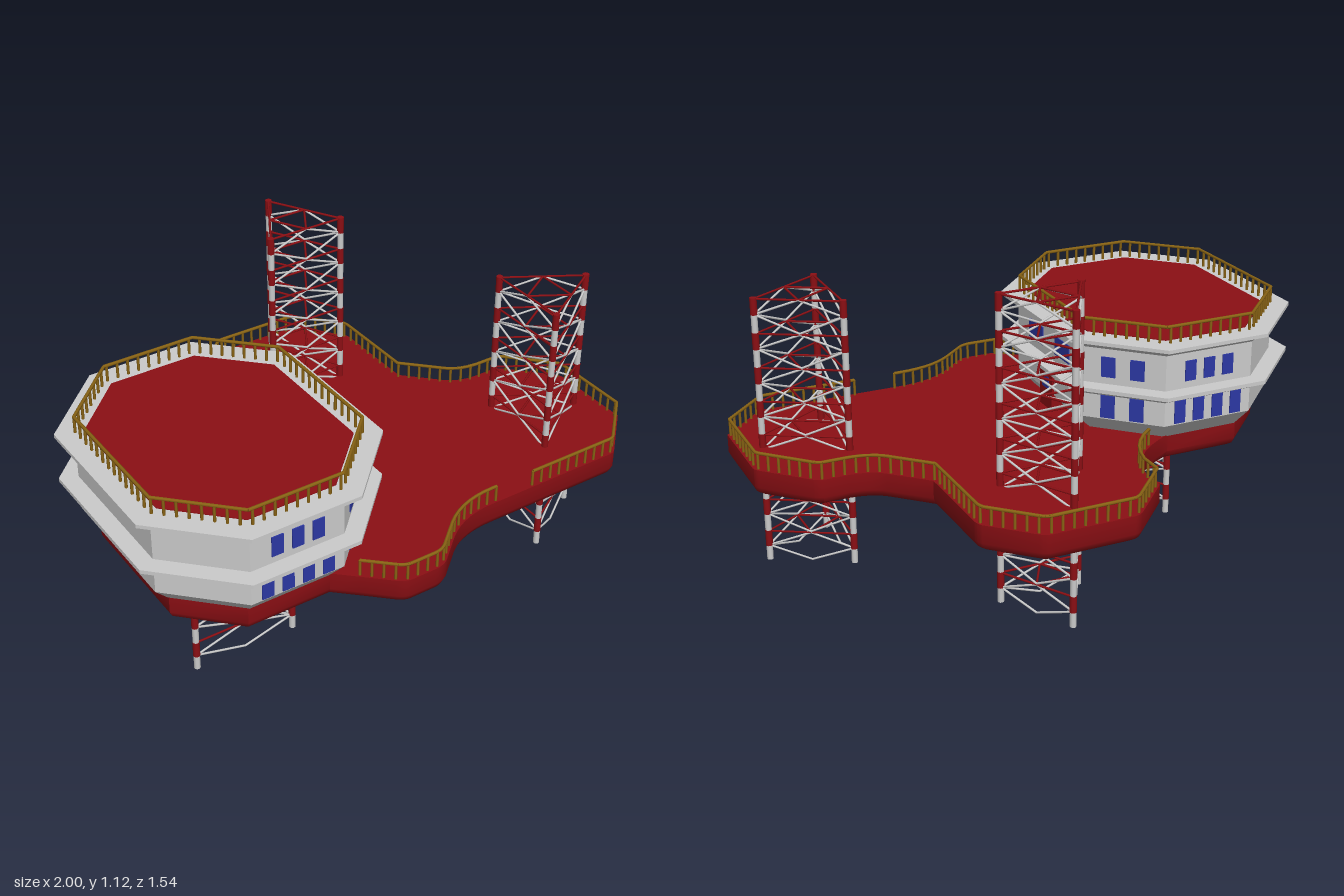
import * as THREE from 'three';
import { mergeGeometries, toCreasedNormals } from 'three/addons/utils/BufferGeometryUtils.js';

const mat = (color) => new THREE.MeshStandardMaterial({ color });
const grey = mat(0xcccccc), red = mat(0x8c0f14), gold = mat(0x8a6414), blue = mat(0x2c38a4);
const V = (x, y, z) => new THREE.Vector3(x, y, z);

function add(parent, name, geometry, material) {
  const mesh = new THREE.Mesh(geometry, material);
  mesh.name = name;
  parent.add(mesh);
  return mesh;
}

// Mitred offset of a closed plan outline (x, z), positive outwards
function offset(pts, d) {
  const n = pts.length;
  const normal = (a, b) => new THREE.Vector2(b.y - a.y, a.x - b.x).normalize();
  return pts.map((p, i) => {
    const n1 = normal(pts[(i + n - 1) % n], p), n2 = normal(p, pts[(i + 1) % n]);
    const m = n1.clone().add(n2).normalize();
    return p.clone().addScaledVector(m, d / m.dot(n1));
  });
}

// Solid from a plan outline and a profile of [offset, y] levels, capped at both ends
function loft(outline, profile, crease = 0.5) {
  const pos = [], n = outline.length;
  const loops = profile.map(([d, y]) => offset(outline, d).map((p) => V(p.x, y, p.y)));
  const tri = (...vs) => vs.forEach((v) => pos.push(v.x, v.y, v.z));
  for (let k = 0; k + 1 < loops.length; k++) {
    const a = loops[k], b = loops[k + 1];
    for (let i = 0; i < n; i++) {
      const j = (i + 1) % n;
      tri(a[i], b[i], a[j]);
      tri(a[j], b[i], b[j]);
    }
  }
  const lo = loops[0], hi = loops[loops.length - 1];
  for (const [a, b, c] of THREE.ShapeUtils.triangulateShape(outline, [])) {
    tri(lo[a], lo[b], lo[c]);
    tri(hi[a], hi[c], hi[b]);
  }
  const g = new THREE.BufferGeometry();
  g.setAttribute('position', new THREE.Float32BufferAttribute(pos, 3));
  return toCreasedNormals(g, crease);
}

// Round bar between two points
function bar(a, b, r, sides = 6) {
  const dir = b.clone().sub(a);
  const g = new THREE.CylinderGeometry(r, r, dir.length(), sides);
  g.applyQuaternion(new THREE.Quaternion().setFromUnitVectors(V(0, 1, 0), dir.normalize()));
  return g.translate((a.x + b.x) / 2, (a.y + b.y) / 2, (a.z + b.z) / 2);
}

// Railing along a plan polyline: posts plus top rail
function railing(pts, y, height, spacing) {
  const parts = [];
  for (let i = 0; i + 1 < pts.length; i++) {
    const a = pts[i], b = pts[i + 1];
    parts.push(bar(V(a.x, y + height, a.y), V(b.x, y + height, b.y), 0.006));
  }
  const path = new THREE.CurvePath();
  for (let i = 0; i + 1 < pts.length; i++) path.add(new THREE.LineCurve(pts[i], pts[i + 1]));
  const count = Math.round(path.getLength() / spacing);
  for (let i = 0; i <= count; i++) {
    const p = path.getPointAt(i / count);
    parts.push(bar(V(p.x, y, p.y), V(p.x, y + height, p.y), 0.005));
  }
  return mergeGeometries(parts);
}

// Three-post lattice leg with rings, inner triangles and diamond bracing
function latticeLeg(name, corners, top) {
  const leg = new THREE.Group();
  leg.name = name;
  const white = [], reds = [], bay = 0.125, band = 0.06;
  const at = ([x, z], y) => V(x, Math.max(y, 0.004), z);
  const mids = corners.map((c, i) => {
    const d = corners[(i + 1) % 3];
    return [(c[0] + d[0]) / 2, (c[1] + d[1]) / 2];
  });
  corners.forEach((c) => white.push(bar(V(c[0], 0, c[1]), V(c[0], top, c[1]), 0.0115, 10)));
  for (let y = top; y > 0.05; y -= bay) {
    for (let i = 0; i < 3; i++) {
      const a = corners[i], b = corners[(i + 1) % 3], m = mids[i];
      reds.push(bar(at(a, y - band), at(a, y + 0.001), 0.0125, 10));
      reds.push(bar(at(a, y - 0.004), at(b, y - 0.004), 0.004));
      reds.push(bar(at(m, y - 0.004), at(mids[(i + 1) % 3], y - 0.004), 0.004));
      for (const c of [a, b]) {
        white.push(bar(at(m, y - 0.004), at(c, y - band), 0.004));
        white.push(bar(at(c, y - band), at(m, y - bay), 0.004));
      }
    }
  }
  add(leg, 'postsAndBraces', mergeGeometries(white), grey);
  add(leg, 'bandsAndRings', mergeGeometries(reds), red);
  return leg;
}

// Hull plan outline, running back, right, front, left
function hullOutline() {
  const p = new THREE.Path();
  p.moveTo(-0.883, 0.41);
  p.lineTo(-0.883, -0.07).lineTo(-0.70, -0.25).lineTo(-0.42, -0.25);
  p.quadraticCurveTo(-0.22, -0.34, -0.19, -0.51).lineTo(-0.19, -0.60);
  p.lineTo(-0.04, -0.755).quadraticCurveTo(-0.02, -0.772, 0, -0.772);
  p.lineTo(0.29, -0.772).quadraticCurveTo(0.31, -0.772, 0.33, -0.755);
  p.lineTo(0.465, -0.62).quadraticCurveTo(0.477, -0.60, 0.477, -0.58);
  p.lineTo(0.48, -0.25).lineTo(0.60, -0.13).quadraticCurveTo(0.64, -0.088, 0.72, -0.085);
  p.lineTo(0.81, -0.085).quadraticCurveTo(0.83, -0.08, 0.845, -0.065);
  p.lineTo(0.985, 0.08).quadraticCurveTo(0.997, 0.095, 0.997, 0.11);
  p.lineTo(0.997, 0.42).lineTo(0.84, 0.578).quadraticCurveTo(0.83, 0.588, 0.81, 0.59);
  p.lineTo(0.46, 0.59).lineTo(0.30, 0.59).lineTo(0.28, 0.59);
  p.quadraticCurveTo(0.15, 0.59, 0.06, 0.665).lineTo(-0.02, 0.735);
  p.quadraticCurveTo(-0.05, 0.765, -0.09, 0.765).lineTo(-0.18, 0.765);
  p.quadraticCurveTo(-0.21, 0.765, -0.235, 0.74).lineTo(-0.32, 0.66);
  p.lineTo(-0.39, 0.595).lineTo(-0.70, 0.595);
  return p.getPoints(7);
}

function deckHouse() {
  const house = new THREE.Group();
  house.name = 'deckHouse';
  const cx = -0.545, cz = 0.172, hx = 0.393, hz = 0.478, cut = 0.22;
  const oct = [
    [-hx, -hz + cut], [-hx + cut, -hz], [hx - cut, -hz], [hx, -hz + cut],
    [hx, hz - cut], [hx - cut, hz], [-hx + cut, hz], [-hx, hz - cut],
  ].map(([x, z]) => new THREE.Vector2(cx + x, cz + z));

  // Walls with two flared walkway ledges
  add(house, 'walls', loft(oct, [
    [-0.055, 0.435], [0, 0.5], [0, 0.59], [0.03, 0.618], [0.06, 0.62], [0.06, 0.634], [0, 0.634],
    [0, 0.765], [0.03, 0.795], [0.06, 0.797], [0.06, 0.81], [-0.03, 0.81],
  ], 0.2), grey);
  add(house, 'roofDeck', loft(oct, [[-0.03, 0.80], [-0.03, 0.813]]), red);
  const rail = offset(oct, -0.004);
  add(house, 'roofRailing', railing([...rail, rail[0]], 0.81, 0.06, 0.04), gold);

  // Windows, placed by wall centre, facing angle and offset along the wall
  const panel = (name, x, z, angle, along, y, w, h, material = blue, depth = 0.008) => {
    const m = add(house, name, new THREE.BoxGeometry(w, h, depth), material);
    m.position.set(x + Math.cos(angle) * along, y, z - Math.sin(angle) * along);
    m.rotation.y = angle;
  };
  for (const [side, angle] of [[1, 0], [-1, Math.PI]]) {
    const z = cz + side * hz;
    for (const u of [-0.075, 0, 0.075]) panel('window', cx, z, angle, u, 0.698, 0.043, 0.075);
    for (const u of [-0.113, -0.038, 0.038, 0.113]) panel('window', cx, z, angle, u, 0.548, 0.043, 0.085);
    for (const y of [0.698, 0.548]) for (const u of [-0.053, 0.053]) {
      panel('window', cx + hx - cut / 2, cz + side * (hz - cut / 2),
        Math.PI / 2 - side * Math.PI / 4, u, y, 0.052, y > 0.6 ? 0.075 : 0.085);
    }
  }
  for (const z of [0.273, 0.058]) panel('wideWindow', cx + hx, z, Math.PI / 2, 0, 0.7, 0.115, 0.07);
  panel('door', cx + hx - 0.02, 0.172, Math.PI / 2, 0, 0.512, 0.1, 0.155, red, 0.06);
  panel('doorWindow', cx + hx + 0.009, 0.172, Math.PI / 2, 0, 0.54, 0.05, 0.045);
  return house;
}

export function createModel() {
  const model = new THREE.Group();
  model.name = 'jackUpPlatform';

  // Hull
  const outline = hullOutline();
  add(model, 'hull', loft(outline, [[-0.03, 0.34], [-0.01, 0.353], [0, 0.375], [0, 0.44]], 0.6), red);

  // Deck railing, open at the boarding gap on the front edge
  const edge = offset(outline, -0.01).filter((p) => p.x > -0.36);
  const gap = edge.findIndex((p) => p.y > 0.5 && Math.abs(p.x - 0.46) < 0.01);
  add(model, 'deckRailing', railing(edge.slice(0, gap + 1), 0.44, 0.06, 0.04), gold);
  add(model, 'frontDeckRailing', railing(edge.slice(gap + 1), 0.44, 0.06, 0.04), gold);

  model.add(deckHouse());

  // Legs
  model.add(latticeLeg('backLeg', [[-0.003, -0.375], [0.292, -0.375], [0.145, -0.632]], 1.115));
  model.add(latticeLeg('leftLeg', [[0.647, 0.11], [0.647, 0.422], [0.913, 0.265]], 0.99));
  model.add(latticeLeg('houseLeg', [[-0.75, 0.32], [-0.368, 0.32], [-0.56, -0.013]], 0.365));
  return model;
}
